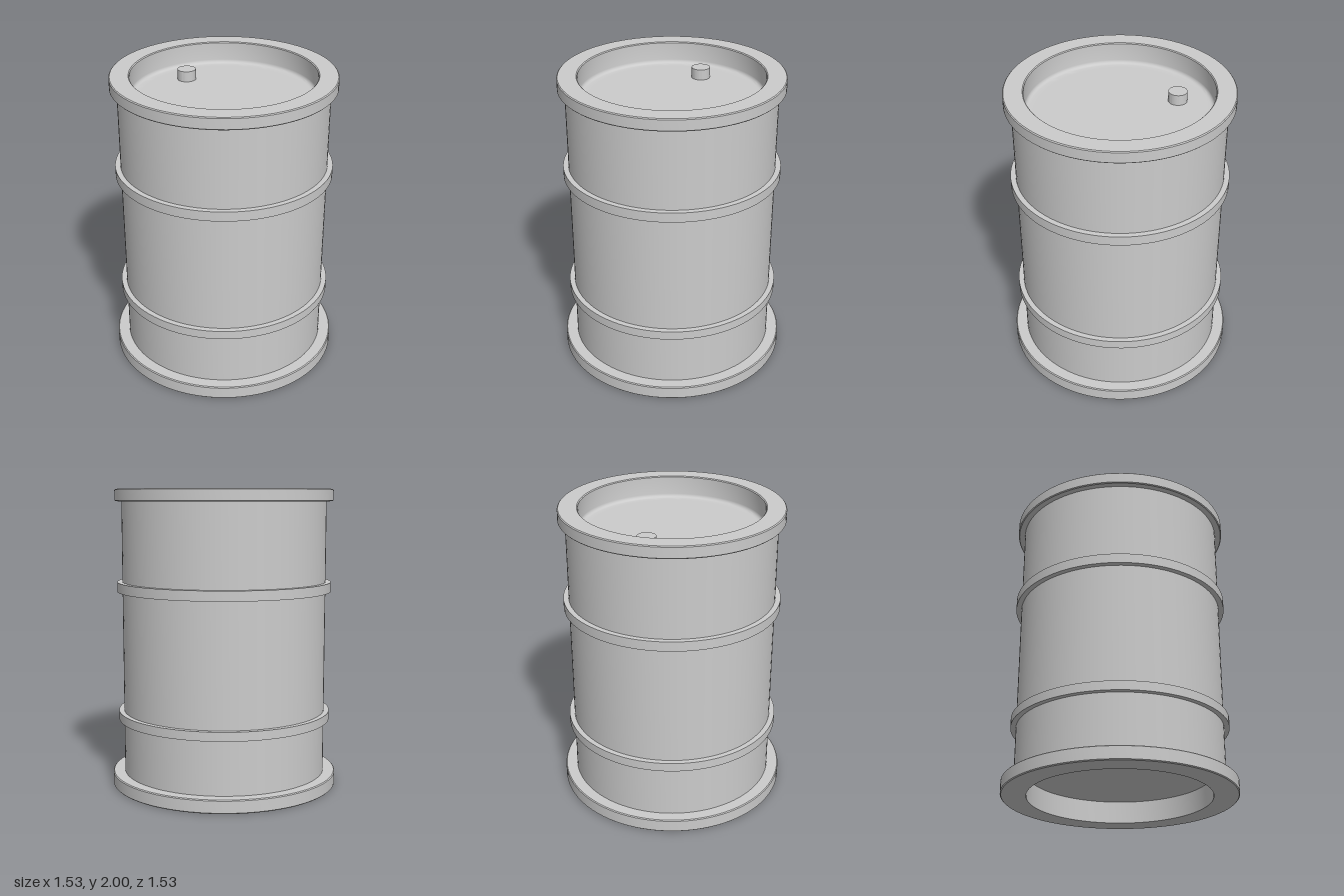
import * as THREE from 'three';
import { toCreasedNormals } from 'three/addons/utils/BufferGeometryUtils.js';

const SEGMENTS = 96;
const BODY_R = 0.685;   // barrel wall
const RECESS_R = 0.6;   // sunken ends
const BEVEL = 0.006;    // softened rim edges

const material = new THREE.MeshStandardMaterial({ color: 0xcccccc });

// Spin an outline of [radius, height] pairs, listed from bottom to top on the outside
function spin(name, outline) {
  const points = outline.map(([r, y]) => new THREE.Vector2(r, y));
  const geometry = toCreasedNormals(new THREE.LatheGeometry(points, SEGMENTS), 0.6);
  const mesh = new THREE.Mesh(geometry, material);
  mesh.name = name;
  return mesh;
}

// Outer edge of a hoop of radius r between heights y0 and y1, with small bevels
function hoopEdge(r, y0, y1) {
  return [[r - BEVEL, y0], [r, y0 + BEVEL], [r, y1 - BEVEL], [r - BEVEL, y1]];
}

// Quarter round where the recess wall meets the lid floor
function fillet(radius, floorY) {
  const arc = [];
  for (let i = 0; i <= 4; i++) {
    const a = (i / 4) * Math.PI / 2;
    arc.push([RECESS_R - radius + radius * Math.cos(a), floorY + radius - radius * Math.sin(a)]);
  }
  return arc;
}

export function createModel() {
  const barrel = new THREE.Group();
  barrel.name = 'barrel';

  // Straight wall
  barrel.add(spin('wall', [[BODY_R, 0.09], [BODY_R, 1.92]]));

  // Wide foot rim with the sunken underside
  barrel.add(spin('bottomRim', [
    [0, 0.15], [RECESS_R, 0.15], [RECESS_R, 0],
    ...hoopEdge(0.765, 0, 0.09),
    [BODY_R, 0.09],
  ]));

  // Top rim with the sunken lid
  barrel.add(spin('topRim', [
    [BODY_R, 1.92],
    ...hoopEdge(0.73, 1.92, 2),
    [RECESS_R + BEVEL, 2], [RECESS_R, 2 - BEVEL],
    ...fillet(0.025, 1.85),
    [0.54, 1.85], [0, 1.85],
  ]));

  // Two reinforcing hoops
  [['lowerHoop', 0.45, 0.51], ['upperHoop', 1.32, 1.385]].forEach(([name, y0, y1]) => {
    barrel.add(spin(name, [[BODY_R, y0], [0.72, y0], [0.72, y1], [BODY_R, y1]]));
  });

  // Filler plug on the lid
  const plug = spin('plug', [[0.061, 0], [0.061, 0.07], [0, 0.07]]);
  plug.position.set(-0.335, 1.85, -0.18);
  barrel.add(plug);

  return barrel;
}
